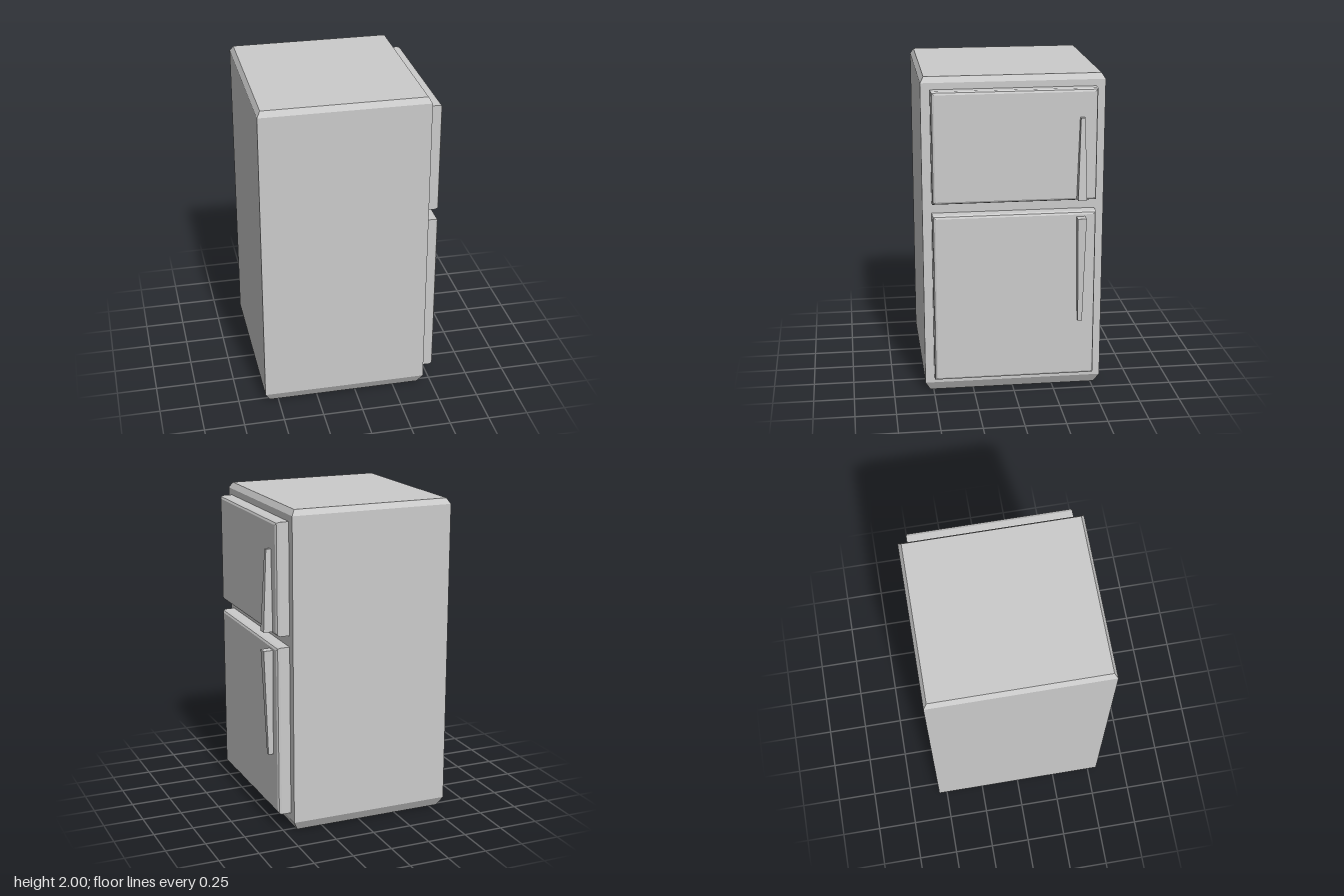
import * as THREE from 'three';

const material = new THREE.MeshStandardMaterial({ color: 0xcccccc, flatShading: true });

// Skins rectangular sections [t, u0, u1, v0, v1] with flat faces and closes both ends.
// place(u, t, v) turns section coordinates into a point.
function loft(name, sections, place) {
  const rings = sections.map(([t, u0, u1, v0, v1]) =>
    [[u0, v1], [u1, v1], [u1, v0], [u0, v0]].map(([u, v]) => place(u, t, v)));
  const positions = [];
  const quad = (a, b, c, d) => positions.push(...a, ...b, ...c, ...a, ...c, ...d);
  for (let r = 0; r < rings.length - 1; r++) {
    const lower = rings[r], upper = rings[r + 1];
    for (let i = 0; i < 4; i++) {
      const j = (i + 1) % 4;
      quad(lower[i], lower[j], upper[j], upper[i]);
    }
  }
  quad(...[...rings[0]].reverse());
  quad(...rings[rings.length - 1]);
  const geometry = new THREE.BufferGeometry();
  geometry.setAttribute('position', new THREE.Float32BufferAttribute(positions, 3));
  geometry.computeVertexNormals();
  const mesh = new THREE.Mesh(geometry, material);
  mesh.name = name;
  return mesh;
}

const upward = (x, y, z) => [x, y, z];
const sideways = (z, x, y) => [x, y, z];

// Cabinet with chamfered top and bottom rims
function cabinet() {
  const section = (y, inset) =>
    [y, -0.585 + inset, 0.445 - inset, -0.553 + inset, 0.553 - inset];
  return loft('cabinet',
    [section(0, 0.032), section(0.06, 0), section(1.965, 0), section(2, 0.021)], upward);
}

// Door slab with a two-step rounded edge on its outer face
function door(name, y0, y1) {
  const section = (x, inset) => [x, -0.497 + inset, 0.497 - inset, y0 + inset, y1 - inset];
  return loft(name,
    [section(0.445, 0), section(0.504, 0), section(0.519, 0.006), section(0.525, 0.018)], sideways);
}

// Handle bar that tapers in depth and width between its two ends
function handle(name, bottom, top) {
  const section = ({ y, x, half }) => [y, 0.523, x, -0.401 - half, -0.401 + half];
  return loft(name, [section(bottom), section(top)], upward);
}

export function createModel() {
  const group = new THREE.Group();
  group.name = 'refrigerator';
  group.add(
    cabinet(),
    door('freezerDoor', 1.24, 1.925),
    door('fridgeDoor', 0.105, 1.17),
    handle('freezerHandle', { y: 1.255, x: 0.582, half: 0.027 }, { y: 1.755, x: 0.556, half: 0.013 }),
    handle('fridgeHandle', { y: 0.475, x: 0.556, half: 0.013 }, { y: 1.14, x: 0.583, half: 0.027 }),
  );
  return group;
}
